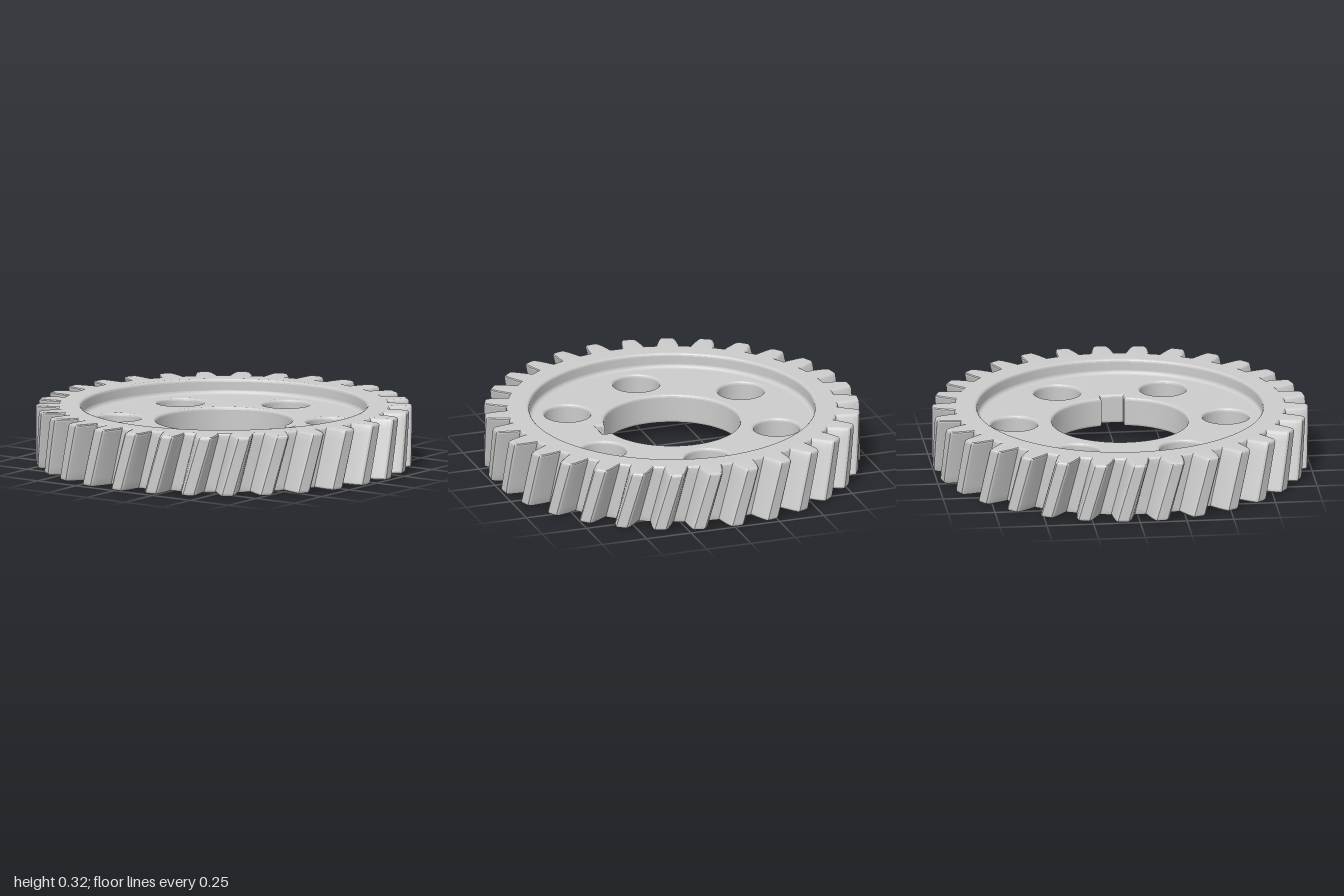
import * as THREE from 'three';
import { toCreasedNormals } from 'three/addons/utils/BufferGeometryUtils.js';

const TEETH = 30;
const HEIGHT = 0.32;
const WEB = 0.16;
const RECESS = 0.76; // radius of the recess in both faces
const TWIST = THREE.MathUtils.degToRad(5.3);
const EDGE = 0.015; // rounding of all edges

// Half of a tooth from root to tip: [radius, half width]
const FLANK = [[0.882, 0.063], [0.915, 0.058], [0.945, 0.052], [0.975, 0.045], [0.992, 0.038], [1, 0.029]];

function toothOutline() {
  const points = [];
  for (let i = 0; i < TEETH; i++) {
    const mid = (i * Math.PI * 2) / TEETH;
    const add = ([r, w], side) => {
      const a = mid + (side * w) / r;
      points.push(new THREE.Vector2(r * Math.cos(a), r * Math.sin(a)));
    };
    FLANK.forEach((p) => add(p, -1));
    add([1, 0], 1);
    [...FLANK].reverse().forEach((p) => add(p, 1));
  }
  return new THREE.Shape(points);
}

function circle(x, y, r, PathType = THREE.Path) {
  return new PathType().absarc(x, y, r, 0, Math.PI * 2, false);
}

// Flat-lying plate with rounded edges, from y = 0 to y = height
function plate(shape, height, steps, curveSegments) {
  return new THREE.ExtrudeGeometry(shape, {
    depth: height - 2 * EDGE, steps, curveSegments,
    bevelThickness: EDGE, bevelSize: EDGE, bevelOffset: -EDGE, bevelSegments: 3,
  }).translate(0, 0, EDGE).rotateX(-Math.PI / 2);
}

export function createModel() {
  const group = new THREE.Group();
  group.name = 'helicalGear';
  const material = new THREE.MeshStandardMaterial({ color: 0xcccccc });

  const addPart = (name, geometry) => {
    const mesh = new THREE.Mesh(geometry, material);
    mesh.name = name;
    group.add(mesh);
  };

  // Toothed rim, twisted along its height
  const rimShape = toothOutline();
  rimShape.holes.push(circle(0, 0, RECESS));
  const rim = plate(rimShape, HEIGHT, 8, 96);
  const pos = rim.attributes.position;
  const v = new THREE.Vector3();
  const axis = new THREE.Vector3(0, 1, 0);
  for (let i = 0; i < pos.count; i++) {
    v.fromBufferAttribute(pos, i);
    v.applyAxisAngle(axis, TWIST * (v.y / HEIGHT - 1));
    pos.setXYZ(i, v.x, v.y, v.z);
  }
  addPart('toothedRim', toCreasedNormals(rim, 0.25));

  // Recessed web with a keyed bore and six round holes
  const webShape = circle(0, 0, RECESS + 0.03, THREE.Shape);
  const key = Math.asin(0.06 / 0.362);
  const bore = new THREE.Path();
  bore.absarc(0, 0, 0.362, key, Math.PI * 2 - key, false);
  bore.lineTo(0.41, -0.06).lineTo(0.41, 0.06).closePath();
  webShape.holes.push(bore);
  for (let i = 0; i < 6; i++) {
    const a = Math.PI / 2 + (i * Math.PI) / 3;
    webShape.holes.push(circle(0.565 * Math.cos(a), 0.565 * Math.sin(a), 0.122));
  }
  const web = plate(webShape, WEB, 1, 64).translate(0, (HEIGHT - WEB) / 2, 0);
  addPart('web', toCreasedNormals(web, 0.25));

  // Small fillet between web and rim on both faces
  const r = 0.02;
  for (const side of [1, -1]) {
    const arc = [];
    for (let i = 0; i <= 4; i++) {
      const a = (i * Math.PI) / 8;
      arc.push(new THREE.Vector2(
        RECESS - r + r * Math.cos(a),
        HEIGHT / 2 + side * (WEB / 2 + r - r * Math.sin(a)),
      ));
    }
    if (side < 0) arc.reverse();
    addPart(side > 0 ? 'upperFillet' : 'lowerFillet', new THREE.LatheGeometry(arc, 96));
  }

  return group;
}
